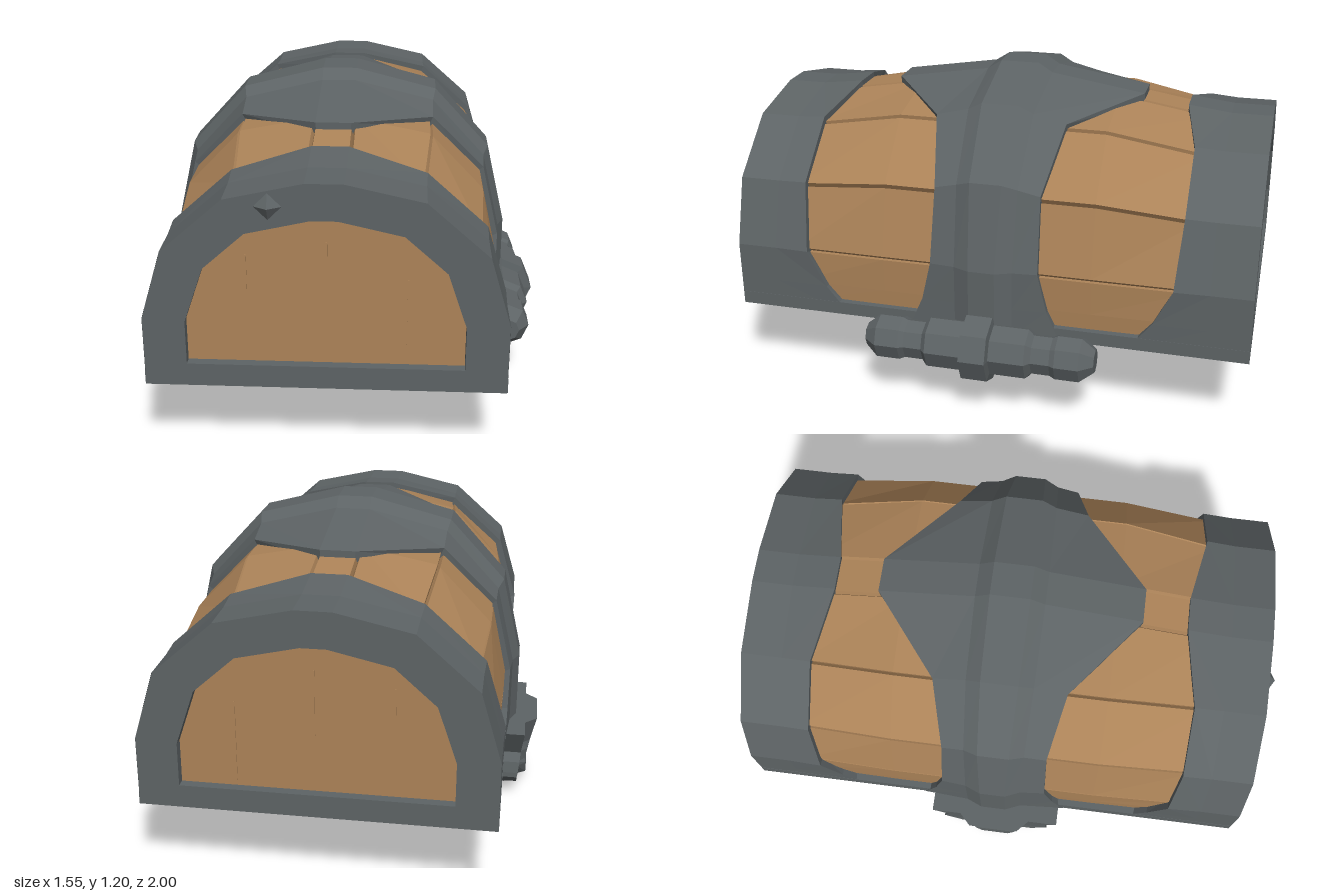
import * as THREE from 'three';

const mat = (name, color) => {
  const m = new THREE.MeshStandardMaterial({ color, flatShading: true, side: THREE.DoubleSide });
  m.name = name;
  return m;
};

// Half profiles of the arch, [distance from middle, height], bottom to top
const BASE = .306;
const OUTER = [[.625, BASE], [.625, .42], [.625, .56], [.55, .81], [.335, 1.0], [.065, 1.06]];
const INNER_EDGE = [[.625, BASE], [.626, .42], [.63, .56], [.554, .814], [.339, 1.008], [.065, 1.08]];
const WOOD_END = [[.595, .33], [.6, .42], [.6, .56], [.53, .8], [.325, .98], [.065, 1.045]];
const WOOD_MID = [[.6, .33], [.606, .42], [.612, .565], [.552, .836], [.352, 1.046], [.065, 1.102]];
const STRAP_EDGE = [[.628, BASE], [.63, .42], [.632, .57], [.566, .85], [.364, 1.064], [.065, 1.112]];
const STRAP_FLANK = [[.64, BASE], [.64, .42], [.64, .57], [.57, .87], [.365, 1.095], [.065, 1.17]];
const RIDGE = [[.665, BASE], [.665, .42], [.665, .57], [.59, .89], [.375, 1.125], [.065, 1.205]];
const WINDOW = [[.478, .39], [.478, .55], [.41, .75], [.265, .88], [.045, .93]];
// Edge distances along the length, one for each profile point
const STRAP_Z = [.29, .24, .205, .2, .25, .495];
const FLANK_Z = [.11, .11, .11, .115, .125, .13];
const RIDGE_Z = [.05, .05, .05, .06, .07, .075];
const END_Z = [.54, .63, .7, .72, .72, .665];

const shrink = (half, k) => half.map(([x, y]) => [x * k, BASE + (y - BASE) * k]);

// Cuts a narrow groove where two planks meet
function grooved(half) {
  return half.flatMap(([x, y], i) => {
    if (i < 2) return [[x, y]];
    const [px, py] = half[i - 1];
    const t = .014 / Math.hypot(px - x, py - y);
    const before = [x + (px - x) * t, y + (py - y) * t];
    return [before, shrink([[(x + before[0]) / 2, (y + before[1]) / 2]], .975)[0], [x, y]];
  });
}

// Mirrors a half profile into a full arch at depth z (a number or one per point)
function arch(half, z) {
  const pts = half.map(([x, y], i) => [x, y, Array.isArray(z) ? z[i] : z]);
  return [...pts.map(([x, y, d]) => [-x, y, d]), ...pts.reverse()];
}

// Skins rows of points with faceted quads
function loft(rows, closed = false) {
  const pos = [];
  for (let r = 0; r + 1 < rows.length; r++) {
    const n = rows[r].length;
    for (let i = 0; i < (closed ? n : n - 1); i++) {
      const j = (i + 1) % n, a = rows[r][i], b = rows[r][j], c = rows[r + 1][j], d = rows[r + 1][i];
      pos.push(...a, ...b, ...c, ...a, ...c, ...d);
    }
  }
  const g = new THREE.BufferGeometry();
  g.setAttribute('position', new THREE.Float32BufferAttribute(pos, 3));
  g.computeVertexNormals();
  return g;
}

const outline = half => arch(half, 0).map(([x, y]) => new THREE.Vector2(x, y));

export function createModel() {
  const wood = mat('wood', 0xac8358);
  const iron = mat('iron', 0x5d6365);

  const model = new THREE.Group();
  model.name = 'chestLid';
  const lid = new THREE.Group();
  lid.name = 'lid';
  lid.position.set(-.025, 0, -.015);
  model.add(lid);
  const add = (name, geo, m, parent = lid) => {
    const mesh = new THREE.Mesh(geo, m);
    mesh.name = name;
    parent.add(mesh);
    return mesh;
  };
  const box = (name, w, h, d, x, y, z, m) =>
    add(name, new THREE.BoxGeometry(w, h, d), m).position.set(x, y, z);

  // Bulging vault of grooved planks, with a plain lining
  add('plankVault', loft([[WOOD_END, -.75], [WOOD_MID, -.4], [WOOD_MID, .4], [WOOD_END, .75]]
    .map(([p, z]) => arch(grooved(p), z))), wood);
  add('innerVault', loft([-.9, .9].map(z => arch(shrink(WOOD_END, .92), z))), wood);
  add('innerStrap', loft([-.21, .21].map(z => arch(shrink(WOOD_END, .905), z))), iron);

  for (const s of [-1, 1]) {
    // Iron end band with a stepped, curved inner edge
    const edge = END_Z.map(z => s * z);
    add('endBand', loft([
      arch(OUTER, s * .985), arch(OUTER, s * .83),
      arch(INNER_EDGE, edge), arch(shrink(INNER_EDGE, .93), edge),
    ]), iron);

    // Iron arch around the end panel
    const shape = new THREE.Shape(outline(shrink(OUTER, .999)));
    shape.holes.push(new THREE.Path(outline(WINDOW)));
    const frame = new THREE.ExtrudeGeometry(shape, { depth: .11, bevelEnabled: false });
    add('endFrame', frame, iron).position.z = s > 0 ? .875 : -.985;

    // Recessed wooden end panel with slim joints
    add('endPanel', new THREE.ShapeGeometry(new THREE.Shape(outline(WINDOW))), wood).position.z = s * .95;
    for (const [x, y, h] of [[-.268, .71, .16], [.005, .72, .24], [.28, .56, .3]])
      box('panelJoint', .005, h, .006, x, y, s * .951, wood);

    // Bottom rim
    box('rimSide', .125, .05, 1.968, s * .564, BASE + .026, 0, iron);
    box('rimEnd', 1.02, .05, .125, 0, BASE + .026, s * .9215, iron);
  }

  // Middle strap: pointed flanges rising to a raised ridge
  const strapRows = [];
  for (const s of [-1, 1]) {
    const side = zs => zs.map(z => s * z);
    const rows = [
      arch(shrink(STRAP_EDGE, .95), side(STRAP_Z)), arch(STRAP_EDGE, side(STRAP_Z)),
      arch(STRAP_FLANK, side(FLANK_Z)), arch(RIDGE, side(RIDGE_Z)),
    ];
    strapRows.push(...(s < 0 ? rows : rows.reverse()));
  }
  add('middleStrap', loft(strapRows), iron);

  // Small battered burr on the front band
  const burr = add('frontBurr', new THREE.ConeGeometry(.05, .03, 4), iron);
  burr.rotation.x = Math.PI / 2;
  burr.position.set(-.185, .978, .998);

  // Eight-sided hinge pin with a collar and knobbed ends
  const half = [[.045, .44], [.086, .39], [.086, .3], [.076, .28], [.076, .21], [.098, .19], [.098, .055], [.128, .05]];
  const profile = [[0, .44], ...half, ...half.map(([r, z]) => [r, -z]).reverse(), [0, -.44]]
    .map(([r, z]) => new THREE.Vector2(r, -z));
  const hinge = add('hingePin', new THREE.LatheGeometry(profile, 8).toNonIndexed(), iron, model);
  hinge.geometry.computeVertexNormals();
  hinge.rotation.x = Math.PI / 2;
  hinge.position.set(.645, .265, -.01);

  // Hanging clasp: [height, outer x, inner x, half width]
  const section = ([y, xo, xi, w]) => {
    const xm = xo + (xi - xo) * .25;
    return [[xo, y, -w * .38], [xo, y, w * .38], [xm, y, w * .55], [xm, y, w],
      [xi, y, w], [xi, y, -w], [xm, y, -w], [xm, y, -w * .55]];
  };
  const clasp = [
    [.31, -.68, -.68, 0], [.31, -.775, -.59, .26], [.2, -.752, -.612, .195], [.165, -.745, -.622, .215],
    [.12, -.735, -.632, .222], [.1, -.742, -.598, .222], [.045, -.742, -.598, .15], [.03, -.69, -.6, .125],
    [.003, -.66, -.635, .08], [.003, -.65, -.65, 0],
  ];
  add('clasp', loft(clasp.map(section), true), iron, model).position.z = -.005;
  return model;
}
